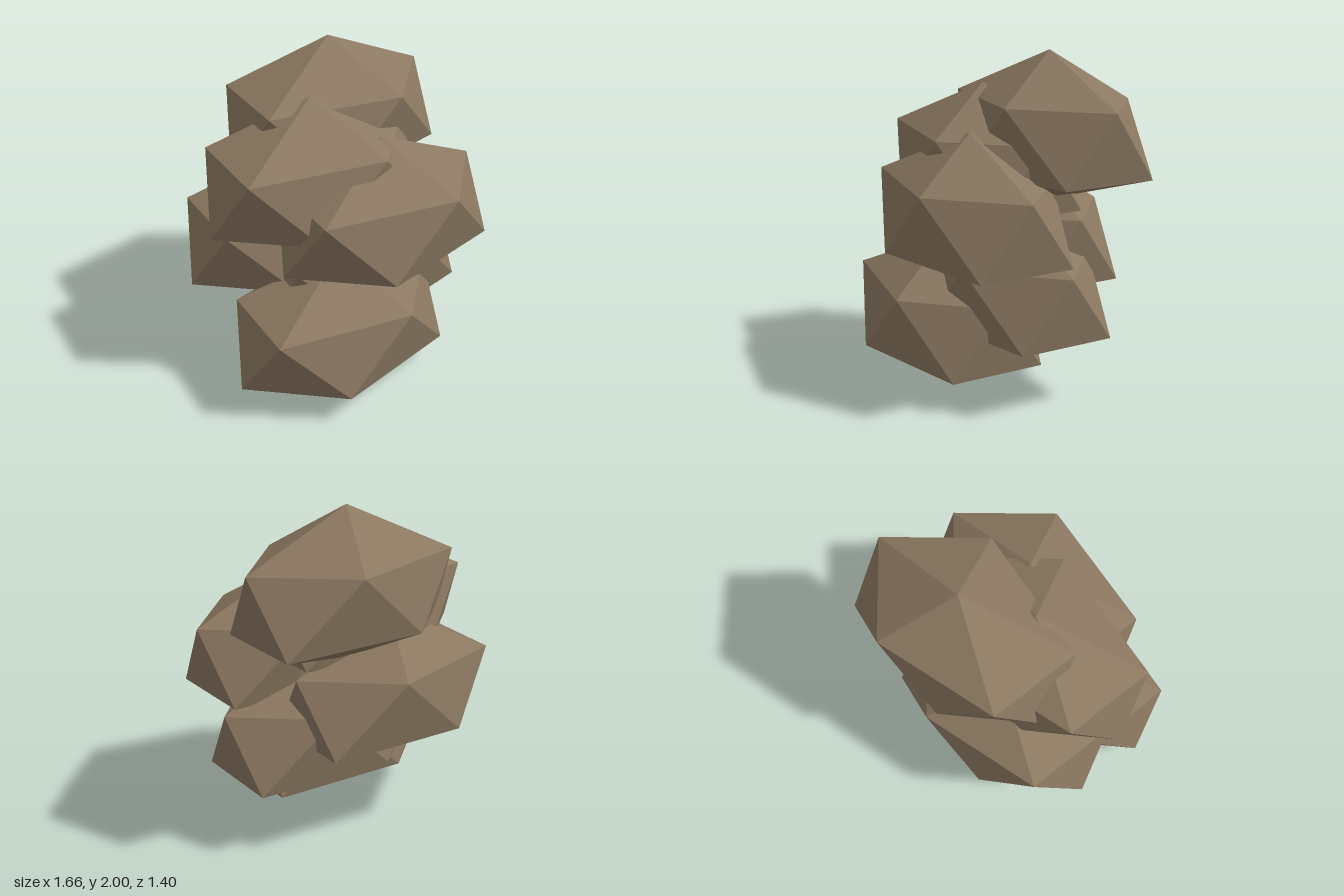
import * as THREE from 'three';
import { ConvexGeometry } from 'three/addons/geometries/ConvexGeometry.js';

export function createModel() {
  const group = new THREE.Group();
  group.name = 'rockPile';

  const stone = new THREE.MeshStandardMaterial({ color: 0x8b7861 });
  stone.name = 'brown stone';

  // One faceted boulder: apex, upper ring, lower ring, foot
  const corners = [
    [0, 0.495, 0],
    [-0.54, 0.22, -0.27], [0.2, 0.205, -0.425], [0.66, 0.2, 0], [0.215, 0.205, 0.44], [-0.595, 0.22, 0.28],
    [0.595, -0.21, 0.28], [-0.22, -0.205, 0.445], [-0.69, -0.205, 0], [-0.21, -0.18, -0.41], [0.61, -0.205, -0.3],
    [0, -0.395, 0],
  ];
  const boulder = new ConvexGeometry(corners.map((c) => new THREE.Vector3(...c)));

  // Six boulders climb in a zigzag: x alternates, z cycles front, middle, back
  const heights = [0.4, 0.615, 0.845, 1.065, 1.3, 1.505];
  const depths = [0.255, -0.01, -0.28];
  heights.forEach((y, i) => {
    const mesh = new THREE.Mesh(boulder, stone);
    mesh.name = `boulder${i + 1}`;
    mesh.position.set(i % 2 ? 0.17 : -0.14, y, depths[i % 3]);
    group.add(mesh);
  });

  return group;
}
